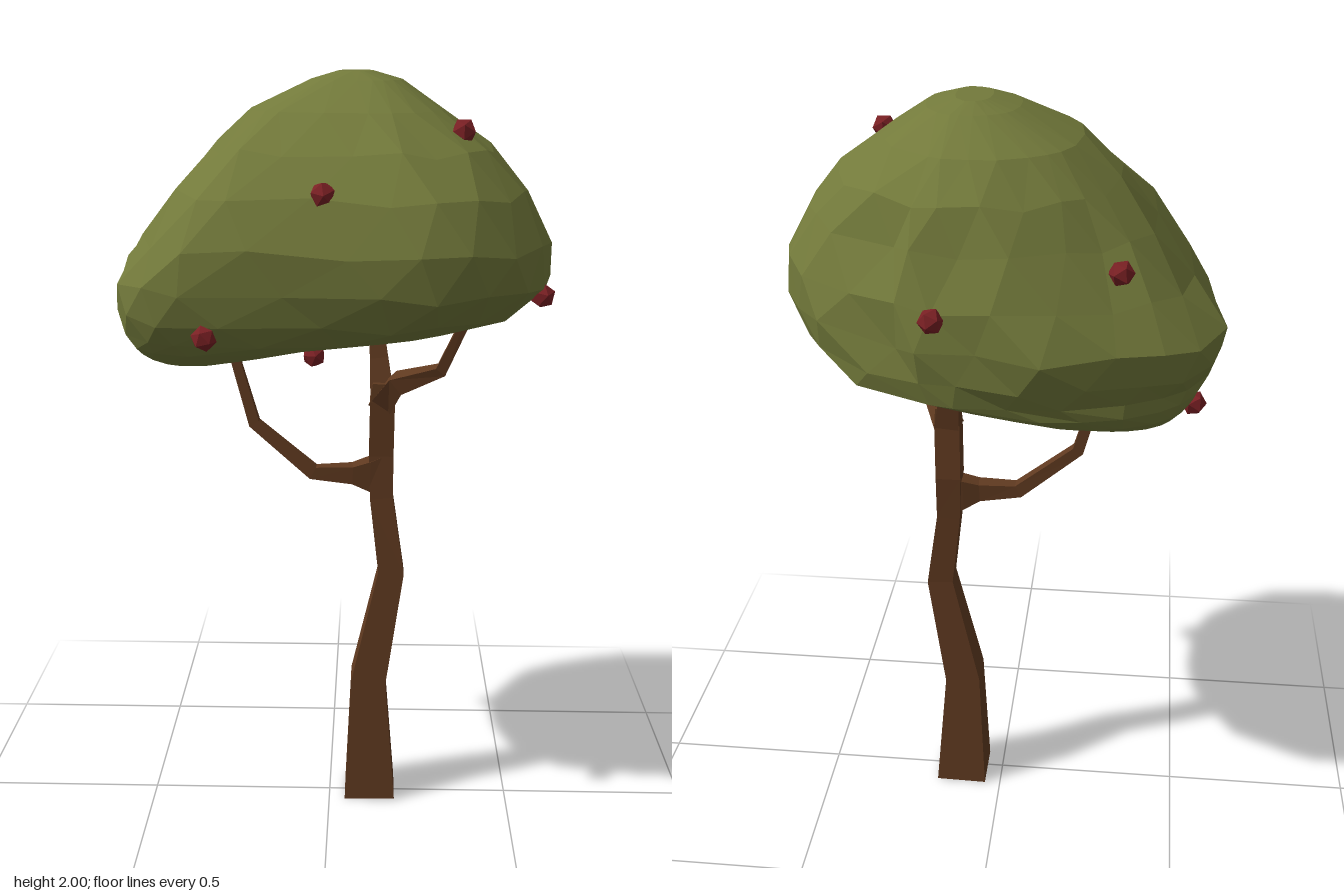
import * as THREE from 'three';

const material = (color) => new THREE.MeshStandardMaterial({ color, flatShading: true });

// Closed skin over rings of points; rings run counter-clockwise about the path
function loft(rings) {
  const n = rings[0].length;
  const points = rings.flat();
  const index = [];
  for (let i = 0; i < rings.length - 1; i++) {
    for (let j = 0; j < n; j++) {
      const k = (j + 1) % n;
      const a = i * n + j, b = i * n + k, c = b + n, d = a + n;
      if (i % 2) index.push(a, b, c, a, c, d);
      else index.push(a, b, d, b, c, d);
    }
  }
  const last = (rings.length - 1) * n;
  for (let j = 1; j < n - 1; j++) {
    index.push(0, j + 1, j, last, last + j, last + j + 1);
  }
  const indexed = new THREE.BufferGeometry().setFromPoints(points);
  indexed.setIndex(index);
  const geometry = indexed.toNonIndexed();
  geometry.computeVertexNormals();
  return geometry;
}

// Four-sided limb along [x, y, z, halfWidth, halfDepth] stations
function limb(stations) {
  const path = stations.map(([x, y, z]) => new THREE.Vector3(x, y, z));
  return loft(stations.map(([, , , w, d], i) => {
    const before = path[Math.max(i - 1, 0)];
    const after = path[Math.min(i + 1, path.length - 1)];
    const t = after.clone().sub(before).normalize();
    const u = t.clone().cross(new THREE.Vector3(0, 0, 1)).normalize();
    const v = t.clone().cross(u);
    return [[1, 1], [-1, 1], [-1, -1], [1, -1]].map(([a, b]) =>
      path[i].clone().addScaledVector(u, a * w).addScaledVector(v, b * d));
  }));
}

// Canopy: a plan outline fitted to the extents of each level
function canopyGeometry() {
  const outline = [
    [-0.52, 0.2], [-0.44, 0.33], [-0.35, 0.37], [-0.1, 0.405], [0.13, 0.45], [0.26, 0.455],
    [0.38, 0.41], [0.48, 0.325], [0.53, 0.22], [0.555, 0.11], [0.545, -0.02], [0.49, -0.14],
    [0.42, -0.25], [0.21, -0.365], [0.16, -0.415], [0.02, -0.42], [-0.13, -0.455],
    [-0.3, -0.405], [-0.41, -0.36], [-0.49, -0.31], [-0.555, -0.19], [-0.535, 0.02],
  ].map(([x, z]) => new THREE.Vector3(x / 0.555, 0, z / 0.455));
  const curve = new THREE.CatmullRomCurve3(outline, true);
  // y, left x, right x, back z, front z
  const levels = [
    [1.24, -0.42, -0.3, -0.2, -0.06],
    [1.26, -0.46, -0.18, -0.27, 0.06],
    [1.29, -0.495, -0.04, -0.33, 0.16],
    [1.33, -0.52, 0.14, -0.385, 0.26],
    [1.365, -0.535, 0.4, -0.41, 0.33],
    [1.42, -0.555, 0.5, -0.44, 0.4],
    [1.5, -0.555, 0.555, -0.455, 0.44],
    [1.6, -0.485, 0.555, -0.44, 0.455],
    [1.72, -0.395, 0.49, -0.395, 0.42],
    [1.82, -0.3, 0.4, -0.35, 0.34],
    [1.91, -0.2, 0.28, -0.27, 0.24],
    [1.98, -0.05, 0.18, -0.15, 0.12],
    [2.0, 0.02, 0.11, -0.09, 0.07],
  ];
  const n = outline.length;
  const ramp = THREE.MathUtils.smoothstep;
  return loft(levels.map(([y, x0, x1, z0, z1], i) => {
    // The middle follows the outline, top and underside are rounder
    const low = 1 - ramp(y, 1.3, 1.48);
    const round = low + 0.7 * ramp(y, 1.7, 1.9);
    // The front left corner recedes below, the back right one above
    const frontCut = 0.14 * low - 0.05 * ramp(y, 1.7, 1.85);
    const backCut = 0.07 * ramp(y, 1.5, 1.68);
    const shear = 0.17 * low;
    const rough = i > 4 && i < 10 ? 0.009 : 0;
    return Array.from({ length: n }, (_, j) => {
      const p = curve.getPoint(((j + (i % 2) / 2) / n) % 1);
      const a = Math.atan2(p.z, p.x);
      const r = (Math.abs(Math.cos(a)) ** 2.5 + Math.abs(Math.sin(a)) ** 2.5) ** -0.4;
      const cut = p.x > 0 ? frontCut : backCut;
      const corner = 1 - cut * Math.max(0, Math.sin(2 * a));
      const px = corner * THREE.MathUtils.lerp(p.x, r * Math.cos(a), round);
      const pz = corner * THREE.MathUtils.lerp(p.z, r * Math.sin(a), round);
      return new THREE.Vector3(
        (x0 + x1) / 2 + px * (x1 - x0) / 2,
        y + rough * Math.sin(j * 2.3 + i * 4.1),
        (z0 + z1) / 2 + (pz - shear * px) * (z1 - z0) / 2);
    });
  }));
}

export function createModel() {
  const model = new THREE.Group();
  const bark = material(0x603a20);
  const leaf = material(0x737a3b);
  const fruit = material(0x7a2024);
  const add = (name, geometry, mat) => {
    const mesh = new THREE.Mesh(geometry, mat);
    mesh.name = name;
    model.add(mesh);
    return mesh;
  };

  // Trunk and branches
  add('trunk', limb([
    [0.114, 0, -0.011, 0.07, 0.071],
    [0.108, 0.35, -0.013, 0.048, 0.052],
    [0.168, 0.67, -0.018, 0.035, 0.037],
    [0.14, 0.88, -0.03, 0.031, 0.034],
    [0.138, 1.0, -0.036, 0.033, 0.036],
    [0.14, 1.15, -0.028, 0.033, 0.033],
    [0.142, 1.2, -0.028, 0.028, 0.032],
  ]), bark);
  add('lowBranch', limb([
    [0.14, 0.943, -0.03, 0.055, 0.03],
    [0.105, 0.943, -0.025, 0.042, 0.028],
    [0.06, 0.947, -0.018, 0.024, 0.024],
    [-0.045, 0.952, -0.014, 0.018, 0.018],
    [-0.203, 1.085, -0.025, 0.015, 0.015],
    [-0.28, 1.36, -0.035, 0.011, 0.011],
  ]), bark);
  add('sideBranch', limb([
    [0.138, 1.14, -0.03, 0.031, 0.032],
    [0.182, 1.21, 0.025, 0.025, 0.025],
    [0.29, 1.26, 0.085, 0.015, 0.015],
    [0.365, 1.44, 0.135, 0.011, 0.011],
  ]), bark);
  add('upperBranch', limb([
    [0.14, 1.15, -0.033, 0.032, 0.032],
    [0.13, 1.26, -0.054, 0.024, 0.023],
    [0.108, 1.45, -0.082, 0.015, 0.015],
  ]), bark);

  // Foliage
  add('canopy', canopyGeometry(), leaf);

  // Fruit scattered over the foliage
  const berry = new THREE.IcosahedronGeometry(0.032, 0);
  [
    [0.324, 1.866, 0.199], [-0.005, 1.735, 0.368], [-0.288, 1.397, 0.362], [-0.04, 1.285, 0.04],
    [-0.49, 1.285, -0.14], [0.526, 1.475, 0.2], [0.12, 1.58, -0.41], [-0.302, 1.672, -0.305],
  ].forEach(([x, y, z], i) => {
    const mesh = add('fruit', berry, fruit);
    mesh.position.set(x, y, z);
    mesh.rotation.set(i, i * 1.7, 0);
  });
  return model;
}
